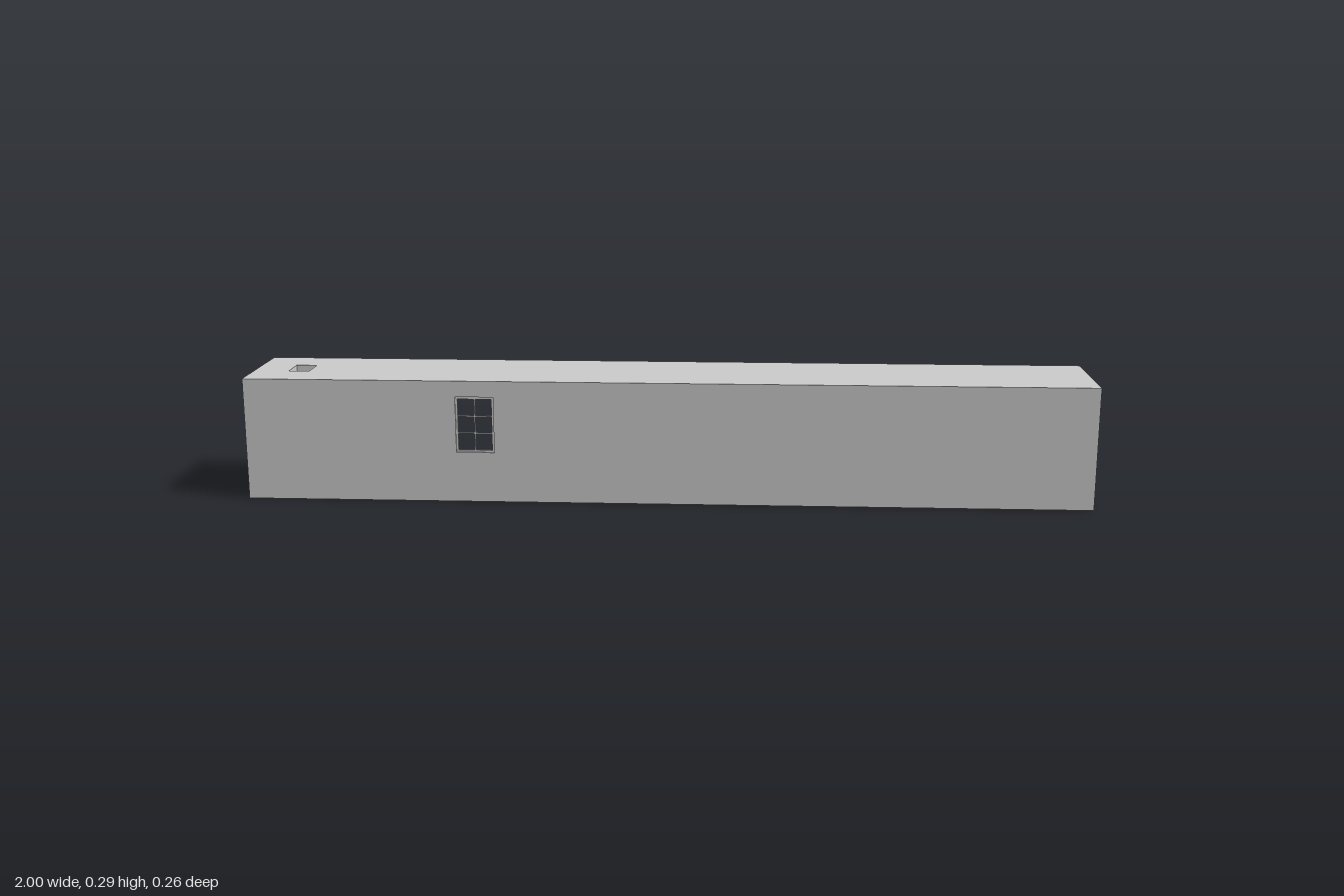
import * as THREE from 'three';

const H = 0.292, D = 0.13, T = 0.017, INNER = 0.103; // height, half depth, wall, inner skin z
const mat = new THREE.MeshStandardMaterial({ color: 0xcccccc, side: THREE.DoubleSide });

// Rectangle outline, usable as shape or hole
function rect(x0, y0, x1, y1, Type = THREE.Shape) {
  const s = new Type();
  s.moveTo(x0, y0);
  s.lineTo(x1, y0);
  s.lineTo(x1, y1);
  s.lineTo(x0, y1);
  s.closePath();
  return s;
}

function add(parent, name, geometry) {
  const m = new THREE.Mesh(geometry, mat);
  m.name = name;
  parent.add(m);
  return m;
}

const extrude = (shape) => new THREE.ExtrudeGeometry(shape, { depth: T, bevelEnabled: false, curveSegments: 12 });

// Rectangular loops joined along z, flat faces
function rectLoft(sections) {
  const pos = [];
  const corners = sections.map(([z, x0, y0, x1, y1]) => [[x0, y0, z], [x1, y0, z], [x1, y1, z], [x0, y1, z]]);
  for (let i = 0; i + 1 < corners.length; i++) {
    for (let k = 0; k < 4; k++) {
      const n = (k + 1) % 4;
      const a = corners[i][k], b = corners[i][n], c = corners[i + 1][n], d = corners[i + 1][k];
      pos.push(...a, ...c, ...b, ...a, ...d, ...c);
    }
  }
  const g = new THREE.BufferGeometry();
  g.setAttribute('position', new THREE.Float32BufferAttribute(pos, 3));
  g.computeVertexNormals();
  return g;
}

export function createModel() {
  const group = new THREE.Group();
  group.name = 'hallway';

  // Floor, and ceiling with a small hatch
  add(group, 'floor', extrude(rect(-1, -D, 1, D)).rotateX(-Math.PI / 2));
  const ceiling = rect(-1, -D, 1, D);
  ceiling.holes.push(rect(-0.916, -0.033, -0.866, 0.036, THREE.Path));
  add(group, 'ceiling', extrude(ceiling).rotateX(-Math.PI / 2)).position.y = H - T;

  // End walls, one with an arched opening at floor level
  const plain = rect(-D, T, INNER, H - T);
  add(group, 'rightEndWall', extrude(plain).rotateY(-Math.PI / 2)).position.x = -1 + T;
  const arched = new THREE.Shape();
  const az = 0.005, r = 0.0155;
  arched.moveTo(-D, T);
  arched.lineTo(az - r, T);
  arched.lineTo(az - r, 0.034);
  arched.absarc(az, 0.034, r, Math.PI, 0, true);
  arched.lineTo(az + r, T);
  arched.lineTo(INNER, T);
  arched.lineTo(INNER, H - T);
  arched.lineTo(-D, H - T);
  arched.closePath();
  add(group, 'leftEndWall', extrude(arched).rotateY(-Math.PI / 2)).position.x = 1;

  // Window rectangles: outer opening, clear opening, flared inner opening
  const outer = [-0.496, 0.12, -0.406, 0.254];
  const clear = [-0.491, 0.125, -0.411, 0.248];
  const flare = [-0.521, 0.101, -0.381, 0.273];

  // Hollow front wall: two thin skins, open at the ends
  const outerSkin = rect(-1, 0, 1, H);
  outerSkin.holes.push(rect(...outer, THREE.Path));
  add(group, 'frontOuterSkin', new THREE.ShapeGeometry(outerSkin)).position.z = D;
  const innerSkin = rect(-1, T, 1, H - T);
  innerSkin.holes.push(rect(...flare, THREE.Path));
  add(group, 'frontInnerSkin', new THREE.ShapeGeometry(innerSkin)).position.z = INNER;

  // Window frame with stepped reveal and splayed inside
  const win = new THREE.Group();
  win.name = 'window';
  group.add(win);
  add(win, 'windowReveal', rectLoft([
    [D, ...outer], [0.126, ...outer], [0.126, ...clear], [0.121, ...clear],
    [0.121, ...outer], [0.116, ...outer], [INNER, ...flare],
  ]));

  // Glazing bars, two panes wide and three high
  const [x0, y0, x1, y1] = clear;
  const w = x1 - x0, h = y1 - y0, cx = (x0 + x1) / 2;
  add(win, 'verticalBar', new THREE.BoxGeometry(0.003, h, 0.003)).position.set(cx, y0 + h / 2, 0.1235);
  for (const i of [1, 2]) {
    add(win, 'horizontalBar', new THREE.BoxGeometry(w, 0.003, 0.003)).position.set(cx, y0 + (h * i) / 3, 0.1235);
  }
  return group;
}
